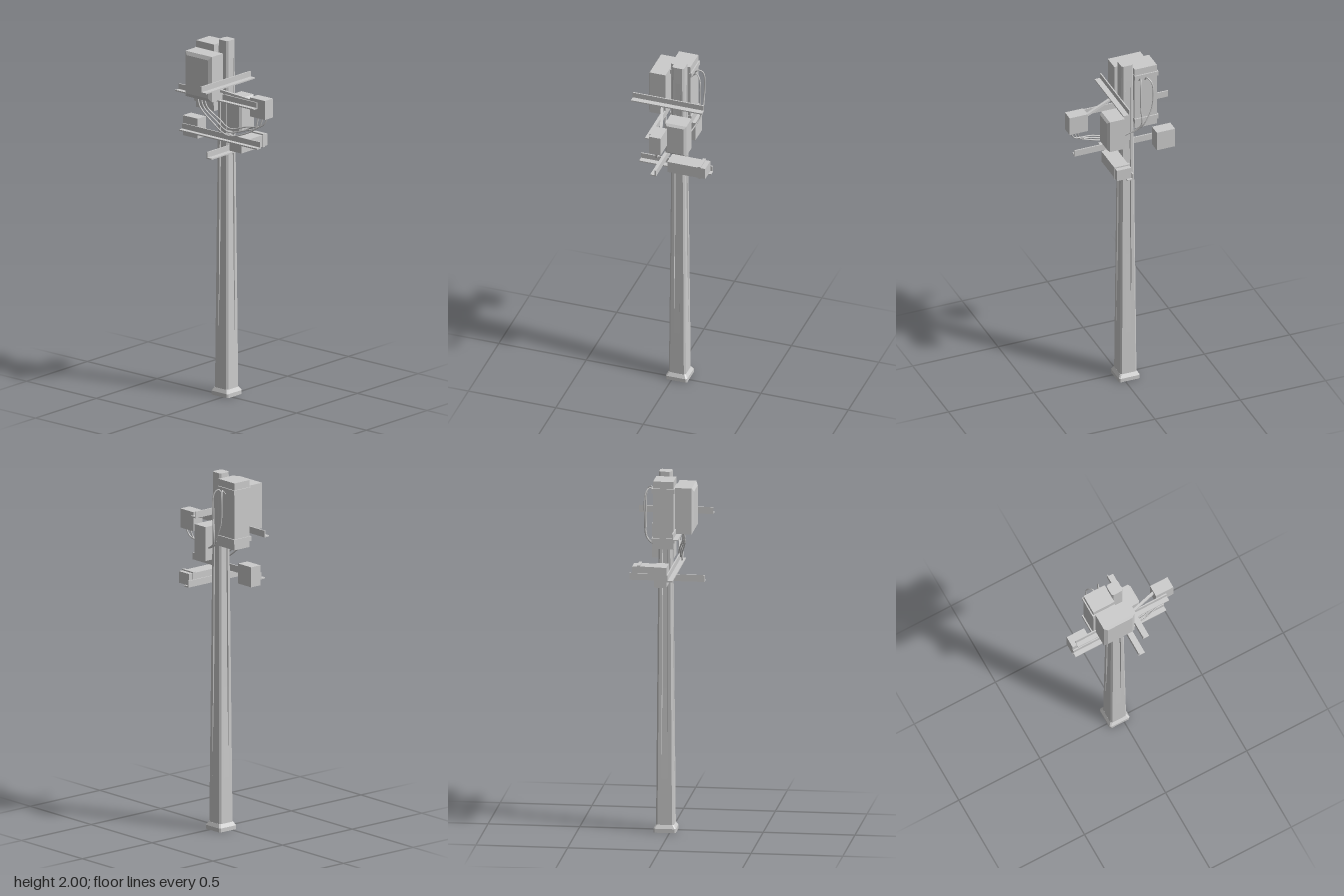
import * as THREE from 'three';

const mat = new THREE.MeshStandardMaterial({ color: 0xcccccc, flatShading: true });
const wireMat = new THREE.MeshStandardMaterial({ color: 0xcccccc });

// Skin a stack of closed rings (counter-clockwise seen from the last ring) and cap both ends
function loft(rings) {
  const n = rings[0].length, pos = rings.flat(2), idx = [];
  for (let r = 0; r < rings.length - 1; r++) {
    for (let i = 0; i < n; i++) {
      const a = r * n + i, b = r * n + (i + 1) % n;
      idx.push(a, b, b + n, a, b + n, a + n);
    }
  }
  [0, rings.length - 1].forEach((r) => {
    const c = pos.length / 3;
    for (let k = 0; k < 3; k++) pos.push(rings[r].reduce((s, p) => s + p[k], 0) / n);
    for (let i = 0; i < n; i++) {
      const a = r * n + i, b = r * n + (i + 1) % n;
      if (r) idx.push(c, a, b); else idx.push(c, b, a);
    }
  });
  const g = new THREE.BufferGeometry();
  g.setAttribute('position', new THREE.Float32BufferAttribute(pos, 3));
  g.setIndex(idx);
  const flat = g.toNonIndexed();
  flat.computeVertexNormals();
  return flat;
}

// Box whose +z face is bevelled all round
function bevelBox(w, h, d, inset, bevel) {
  const ring = (z, k) => [[-1, -1], [1, -1], [1, 1], [-1, 1]]
    .map(([a, b]) => [a * (w / 2 - k), b * (h / 2 - k), z]);
  return loft([ring(-d / 2, 0), ring(d / 2 - bevel, 0), ring(d / 2, inset)]);
}

// Square pole section with cut corners and a groove in each face
function poleRing(y, half, cut, groove, depth) {
  const side = [
    [-half + cut, half], [-groove, half], [-groove + 0.003, half - depth],
    [groove - 0.003, half - depth], [groove, half], [half - cut, half],
  ];
  const ring = [];
  for (let s = 0; s < 4; s++) {
    const c = Math.round(Math.cos(s * Math.PI / 2)), n = Math.round(Math.sin(s * Math.PI / 2));
    side.forEach(([x, z]) => ring.push([x * c + z * n, y, -x * n + z * c]));
  }
  return ring;
}

export function createModel() {
  const model = new THREE.Group();
  model.name = 'utilityPole';

  const add = (name, geo, x = 0, y = 0, z = 0, m = mat, parent = model) => {
    const mesh = new THREE.Mesh(geo, m);
    mesh.name = name;
    mesh.position.set(x, y, z);
    parent.add(mesh);
    return mesh;
  };
  // Box given by its limits on each axis
  const box = (name, [x0, x1], [y0, y1], [z0, z1], parent = model) =>
    add(name, new THREE.BoxGeometry(x1 - x0, y1 - y0, z1 - z0),
      (x0 + x1) / 2, (y0 + y1) / 2, (z0 + z1) / 2, mat, parent);
  const group = (name) => {
    const g = new THREE.Group();
    g.name = name;
    model.add(g);
    return g;
  };

  // Tapered pole: grooves fade in above the foot and out below the top
  const taper = (y) => 0.049 - 0.0075 * y;
  const shaft = [[0.03, 0], [0.3, 0], [0.8, 0.006], [1.5, 0.006], [1.9, 0], [2, 0]]
    .map(([y, d]) => poleRing(y, taper(y), 0.009, 0.0185 - 0.002 * y, d));
  add('poleShaft', loft(shaft), -0.025, 0, -0.027);
  const foot = [[0, 0.061], [0.022, 0.061], [0.042, 0.049]]
    .map(([y, h]) => poleRing(y, h, 0.007, 0.018, 0));
  add('poleFoot', loft(foot), -0.025, 0, -0.027);

  // Angle-iron crossarms: upright flange plus a bottom flange facing outwards
  const t = 0.007;
  [['upperCrossarm', 1.675, 0.042], ['lowerCrossarm', 1.445, 0.012]].forEach(([name, y, z]) => {
    const g = group(name);
    box('uprightFlange', [-0.305, 0.255], [y, y + 0.037], [z, z + t], g);
    box('bottomFlange', [-0.305, 0.255], [y, y + t], [z + t, z + 0.033], g);
  });
  [['upperSideArm', 1.757, -0.178, 0.228], ['lowerSideArm', 1.378, -0.23, 0.18]].forEach(([name, y, z0, z1]) => {
    const g = group(name);
    box('uprightFlange', [0.01, 0.01 + t], [y, y + 0.037], [z0, z1], g);
    box('bottomFlange', [0.01 + t, 0.048], [y, y + t], [z0, z1], g);
  });

  // Front cabinet and the smaller cabinet on the left side, both with bevelled doors
  add('frontCabinet', bevelBox(0.19, 0.255, 0.102, 0.02, 0.011), -0.085, 1.8125, 0.094);
  add('sideCabinet', bevelBox(0.12, 0.19, 0.1, 0.012, 0.012), 0.061, 1.6, -0.047)
    .rotation.y = Math.PI / 2;

  // Tall banded cabinet on the right side
  const tall = group('tallCabinet');
  box('body', [-0.19, -0.06], [1.6, 1.975], [-0.075, 0.035], tall);
  [1.635, 1.91].forEach((y) => box('band', [-0.197, -0.058], [y, y + 0.026], [-0.082, 0.042], tall));

  // Small boxes on the arms
  box('rightArmBox', [-0.305, -0.198], [1.413, 1.525], [-0.055, 0.012]);
  box('leftArmBox', [0.196, 0.303], [1.62, 1.727], [-0.031, 0.035]);
  const rear = group('rearBox');
  box('body', [0.02, 0.104], [1.385, 1.45], [-0.217, 0], rear);
  box('collar', [0.016, 0.107], [1.382, 1.457], [-0.191, -0.174], rear);

  // Strut carrying the left arm box
  const a = new THREE.Vector3(0.01, 1.735, 0.062), b = new THREE.Vector3(0.21, 1.695, -0.002);
  const strut = add('strut', new THREE.BoxGeometry(0.014, 0.014, a.distanceTo(b)));
  strut.position.copy(a).lerp(b, 0.5);
  strut.lookAt(b);

  // Cables
  const cable = (name, pts) => {
    const curve = new THREE.CatmullRomCurve3(pts.map((p) => new THREE.Vector3(...p)));
    add(name, new THREE.TubeGeometry(curve, 28, 0.004, 6), 0, 0, 0, wireMat);
  };
  for (let i = 0; i < 3; i++) {
    const s = i * 0.018;
    cable('hangingCable', [
      [-0.135 + s, 1.69, 0.085 - s / 3], [-0.115 + s, 1.63, 0.09 - s / 2], [-0.05 + s, 1.55 + s / 2, 0.065 - s / 2],
      [0.05, 1.488 + s, 0.052 - s / 2], [0.16, 1.515 + s, 0.04 - s / 2],
      [0.225 + s, 1.555 + s / 2, 0.022 - s / 2], [0.235 + s * 1.5, 1.625, 0.01 - s / 2],
    ]);
  }
  [[-0.12, -0.14, -0.095], [-0.085, -0.075, -0.08]].forEach(([x, mid, low]) => cable('rearCable', [
    [x, 1.9, -0.075], [x, 1.925, -0.1], [mid, 1.9, -0.122], [mid, 1.75, -0.127],
    [low, 1.65, -0.125], [low + 0.03, 1.61, -0.105], [0.02, 1.57, -0.08],
  ]));

  return model;
}
